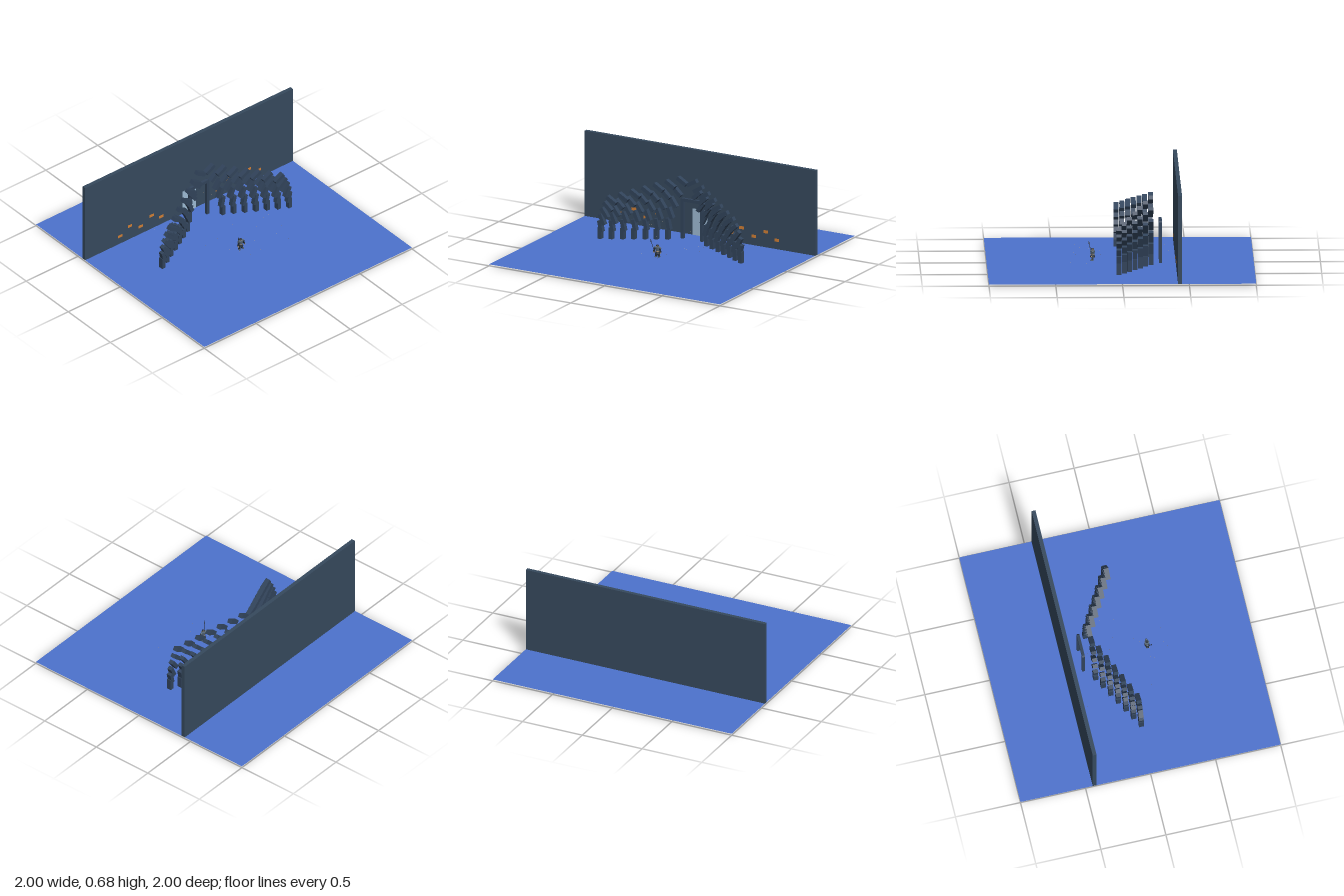
import * as THREE from 'three';

const mat = (name, color, side = THREE.FrontSide) => {
  const m = new THREE.MeshStandardMaterial({ color, side });
  m.name = name;
  return m;
};

export function createModel() {
  const model = new THREE.Group();
  model.name = 'archedHall';
  const floorBlue = mat('floorBlue', 0x4d72cd, THREE.DoubleSide);
  const wallSlate = mat('wallSlate', 0x36495d);
  const ribSlate = mat('ribSlate', 0x31435a);
  const paleBlue = mat('paleBlue', 0x9dbad3, THREE.DoubleSide);
  const amber = mat('amber', 0xd07f35, THREE.DoubleSide);
  const darkCloth = mat('darkCloth', 0x28303a);
  const armour = mat('armour', 0x56687a);
  const tan = mat('tan', 0xb59a78);

  const add = (parent, name, geometry, material, x = 0, y = 0, z = 0) => {
    const m = new THREE.Mesh(geometry, material);
    m.name = name;
    m.position.set(x, y, z);
    parent.add(m);
    return m;
  };
  const box = (w, h, d) => new THREE.BoxGeometry(w, h, d);
  const FLOOR = 0.013;

  // Floor and back wall
  add(model, 'floor', new THREE.PlaneGeometry(2, 2), floorBlue, 0, FLOOR, 0).rotation.x = -Math.PI / 2;
  add(model, 'backWall', box(2, 0.667, 0.03), wallSlate, 0, FLOOR + 0.3335, -0.43);

  // Seven pairs of curved ribs, each a stack of progressively tilted blocks
  const blockGeo = box(0.03, 0.088, 0.037);
  for (const side of [-1, 1]) {
    for (let r = 0; r < 7; r++) {
      const t = r / 6;
      const rib = new THREE.Group();
      rib.name = side > 0 ? 'leftRib' : 'rightRib';
      rib.position.z = 0.019 - 0.2475 * t;
      const baseX = 0.61 - 0.44 * t, reach = 0.1 + 0.026 * t;
      const baseY = 0.059 - 0.014 * t, topY = 0.328 + 0.157 * t;
      for (let i = 0; i < 6; i++) {
        const u = i / 5;
        const b = add(rib, 'ribBlock', blockGeo, ribSlate,
          side * (baseX - reach * Math.pow(u, 1.8)), baseY + (topY - baseY) * u, 0);
        b.rotation.z = -side * u * 1.04;
      }
      model.add(rib);
    }
  }

  // Door frame: outline with an open bottom and chamfered upper corners
  const frame = new THREE.Shape();
  [[-0.095, 0], [-0.072, 0], [-0.072, 0.29], [0.072, 0.29], [0.072, 0], [0.095, 0],
    [0.095, 0.305], [0.085, 0.315], [-0.085, 0.315], [-0.095, 0.305]]
    .forEach(([x, y], i) => (i ? frame.lineTo(x, y) : frame.moveTo(x, y)));
  add(model, 'doorFrame', new THREE.ExtrudeGeometry(frame, { depth: 0.022, bevelEnabled: false }),
    ribSlate, 0, FLOOR, -0.313);

  // Glowing doorway and wall lights
  add(model, 'doorway', new THREE.PlaneGeometry(0.13, 0.207), paleBlue, 0, FLOOR + 0.1035, -0.412);
  const lightGeo = new THREE.PlaneGeometry(0.042, 0.024);
  for (const side of [-1, 1]) {
    [0.667, 0.571, 0.468, 0.361, 0.271].forEach((x, i) =>
      add(model, 'wallLight', lightGeo, amber, side * x, i % 2 ? 0.135 : 0.084, -0.412));
  }

  // Small armoured figure
  const figure = new THREE.Group();
  figure.name = 'figure';
  figure.position.set(-0.005, FLOOR, 0.205);
  for (const s of [-1, 1]) {
    add(figure, 'leg', box(0.012, 0.036, 0.014), darkCloth, s * 0.011, 0.02, 0).rotation.z = s * 0.15;
    add(figure, 'boot', box(0.013, 0.008, 0.022), armour, s * 0.014, 0.004, 0.003);
    add(figure, 'shoulder', new THREE.SphereGeometry(0.009, 8, 6), armour, s * 0.022, 0.072, 0);
    add(figure, 'arm', box(0.009, 0.034, 0.01), darkCloth, s * 0.026, 0.056, 0.005).rotation.z = s * 0.25;
    add(figure, 'hand', box(0.008, 0.008, 0.008), tan, s * 0.03, 0.038, 0.008);
  }
  add(figure, 'skirt', new THREE.CylinderGeometry(0.013, 0.02, 0.02, 8), darkCloth, 0, 0.038, 0);
  add(figure, 'torso', new THREE.CylinderGeometry(0.019, 0.013, 0.034, 8), armour, 0, 0.061, 0);
  add(figure, 'belt', new THREE.CylinderGeometry(0.0145, 0.0145, 0.005, 8), tan, 0, 0.047, 0);
  add(figure, 'head', new THREE.SphereGeometry(0.01, 10, 8), tan, 0, 0.086, 0);
  add(figure, 'helmet', new THREE.SphereGeometry(0.0115, 10, 6, 0, Math.PI * 2, 0, Math.PI / 2),
    darkCloth, 0, 0.087, 0);

  // Long weapon held in the right hand, leaning up and forward
  const from = new THREE.Vector3(-0.014, 0.01, 0), to = new THREE.Vector3(-0.049, 0.148, 0.03);
  const dir = to.clone().sub(from);
  const spear = new THREE.Group();
  spear.name = 'spear';
  spear.position.copy(from);
  spear.quaternion.setFromUnitVectors(new THREE.Vector3(0, 1, 0), dir.clone().normalize());
  const length = dir.length();
  add(spear, 'shaft', new THREE.CylinderGeometry(0.002, 0.002, length - 0.03, 6), darkCloth, 0, (length - 0.03) / 2, 0);
  add(spear, 'blade', new THREE.ConeGeometry(0.005, 0.03, 4), darkCloth, 0, length - 0.015, 0);
  figure.add(spear);
  model.add(figure);

  // Floating motes scattered through the hall
  let seed = 7;
  const rand = () => (seed = (seed * 16807) % 2147483647) / 2147483647;
  const moteGeo = new THREE.OctahedronGeometry(0.0018);
  for (let i = 0; i < 45; i++) {
    add(model, 'mote', moteGeo, tan, (rand() - 0.5) * 0.8, 0.03 + rand() * 0.13, (rand() - 0.5) * 0.8);
  }
  return model;
}
